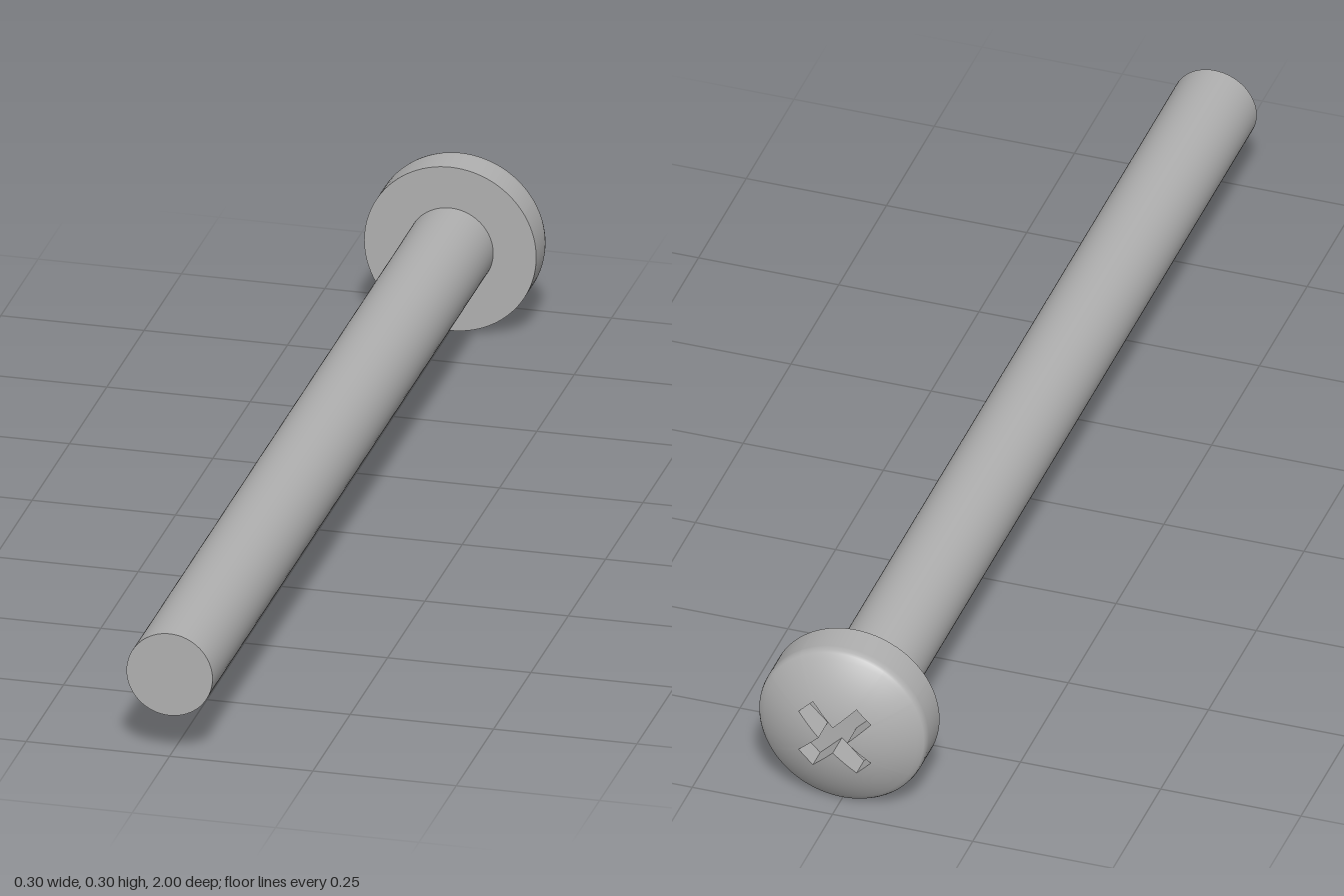
import * as THREE from 'three';

const HEAD_R = 0.15, SHAFT_R = 0.075;
const SEAT = 0.88, SHOULDER = 0.94, APEX = 1; // distances along the axis
const SLOT_L = 0.073, SLOT_W = 0.018, SLOT_FLOOR = 0.95; // cross recess half sizes

// Angles around the axis, with the corners of the cross added
const corner = Math.atan2(SLOT_W, SLOT_L);
const angles = [];
for (let q = 0; q < 4; q++) {
  const quarter = [corner, Math.PI / 2 - corner];
  for (let i = 0; i < 24; i++) quarter.push((i / 24) * Math.PI / 2);
  quarter.sort((a, b) => a - b).forEach((a) => angles.push(a + q * Math.PI / 2));
}

// Radius of the cross outline in a given direction
function crossRadius(a) {
  const c = Math.abs(Math.cos(a)), s = Math.abs(Math.sin(a));
  return Math.min(SLOT_L / Math.max(c, s), SLOT_W / Math.max(Math.min(c, s), 1e-6));
}

// Height of the spherical dome at a given radius
const SAG = 0.052;
const DOME_R = (HEAD_R ** 2 + SAG ** 2) / (2 * SAG);
const domeHeight = (r) => APEX - DOME_R + Math.sqrt(DOME_R ** 2 - r * r);

// Joins rings; each row maps an angle to [radius, height]
function loft(rows, flat = false) {
  const n = angles.length, pos = [], idx = [];
  rows.forEach((row) => angles.forEach((a) => {
    const [r, h] = row(a), t = a + Math.PI / 4;
    pos.push(r * Math.cos(t), r * Math.sin(t), h);
  }));
  for (let i = 0; i < rows.length - 1; i++) {
    for (let j = 0; j < n; j++) {
      const k = (j + 1) % n;
      const a = i * n + j, b = a + n, c = (i + 1) * n + k, d = i * n + k;
      idx.push(a, b, c, a, c, d);
    }
  }
  let g = new THREE.BufferGeometry();
  g.setAttribute('position', new THREE.Float32BufferAttribute(pos, 3));
  g.setIndex(idx);
  if (flat) g = g.toNonIndexed();
  g.computeVertexNormals();
  return g;
}

export function createModel() {
  const model = new THREE.Group();
  model.name = 'screw';
  const steel = new THREE.MeshStandardMaterial({ color: 0xb0b0b0 });
  steel.name = 'steel grey';

  const add = (parent, name, geometry) => {
    const mesh = new THREE.Mesh(geometry, steel);
    mesh.name = name;
    parent.add(mesh);
    return mesh;
  };

  // Plain round shaft
  const shaft = add(model, 'shaft', new THREE.CylinderGeometry(SHAFT_R, SHAFT_R, 1 + SEAT, 64));
  shaft.rotation.x = Math.PI / 2;
  shaft.position.set(0, 0.15, (1 - SEAT) / 2);

  // Head, built along +z and turned to the back
  const head = new THREE.Group();
  head.name = 'head';
  head.rotation.y = Math.PI;
  head.position.y = 0.15;
  model.add(head);

  // Dome from the cross outline outwards, then a small round and the side
  const rows = [];
  const DOME_EDGE = 0.146;
  for (let i = 0; i <= 12; i++) {
    rows.push((a) => {
      const r = THREE.MathUtils.lerp(crossRadius(a), DOME_EDGE, i / 12);
      return [r, domeHeight(r)];
    });
  }
  rows.push(() => [0.1488, 0.9465], () => [HEAD_R, SHOULDER], () => [HEAD_R, SHOULDER - 0.004], () => [HEAD_R, SEAT]);
  add(head, 'domedCap', loft(rows));

  // Flat bearing face around the shaft
  add(head, 'bearingFace', loft([() => [HEAD_R, SEAT], () => [SHAFT_R - 0.002, SEAT]]));

  // Cross recess
  const floorEdge = (a) => [crossRadius(a), SLOT_FLOOR];
  add(head, 'recessWalls', loft([floorEdge, (a) => [crossRadius(a), domeHeight(crossRadius(a))]], true));
  add(head, 'recessFloor', loft([() => [0, SLOT_FLOOR], floorEdge], true));

  return model;
}
